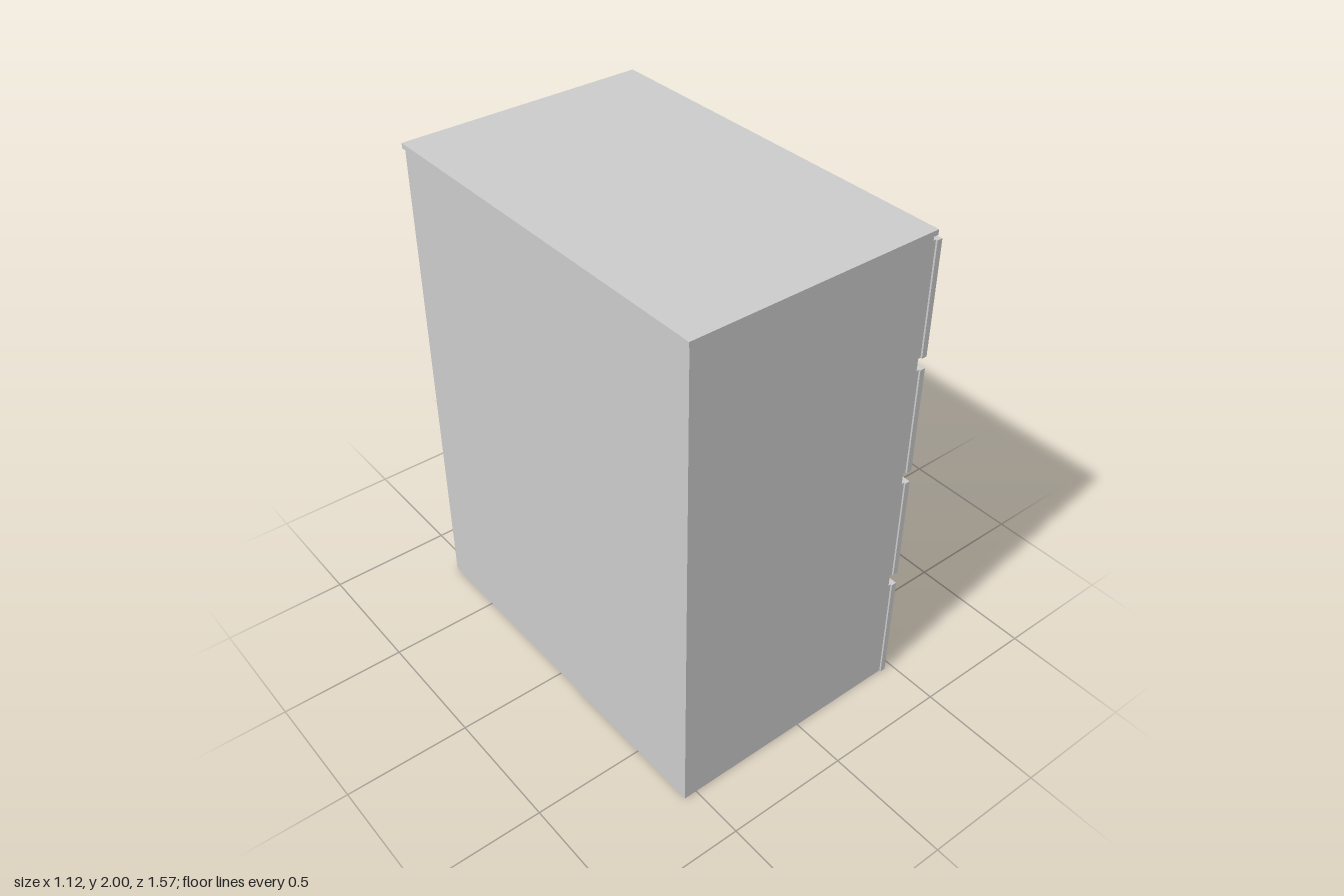
import * as THREE from 'three';

const material = new THREE.MeshStandardMaterial({ color: 0xcccccc });

// Box given by its min and max along each axis
function box(name, [x0, x1], [y0, y1], [z0, z1]) {
  const mesh = new THREE.Mesh(new THREE.BoxGeometry(x1 - x0, y1 - y0, z1 - z0), material);
  mesh.position.set((x0 + x1) / 2, (y0 + y1) / 2, (z0 + z1) / 2);
  mesh.name = name;
  return mesh;
}

// Half-ring pull lying flat and bulging towards +x
const handleGeometry = new THREE.TorusGeometry(0.094, 0.025, 16, 32, Math.PI)
  .rotateZ(-Math.PI / 2)
  .rotateX(Math.PI / 2);

function drawer(name, y, z, handleY, handleZ) {
  const group = new THREE.Group();
  group.name = name;
  // Recessed part behind the panel stays flush with the cabinet sides
  const inner = z.map((v) => THREE.MathUtils.clamp(v, -0.778, 0.778));
  group.add(box('drawerBack', [0.433, 0.444], y, inner));
  group.add(box('drawerPanel', [0.444, 0.466], y, z));
  const handle = new THREE.Mesh(handleGeometry, material);
  handle.name = 'handle';
  handle.position.set(0.438, handleY, handleZ);
  group.add(handle);
  return group;
}

export function createModel() {
  const model = new THREE.Group();
  model.name = 'chestOfDrawers';

  // Cabinet and overhanging top
  model.add(box('cabinet', [-0.553, 0.433], [0, 1.98], [-0.778, 0.778]));
  model.add(box('top', [-0.56, 0.444], [1.98, 2], [-0.785, 0.785]));

  // Three full-width drawers
  const rows = [[0, 0.472, 0.352], [0.524, 0.97, 0.826], [1.018, 1.462, 1.328]];
  rows.forEach(([y0, y1, handleY], i) => {
    model.add(drawer(`wideDrawer${i + 1}`, [y0, y1], [-0.785, 0.785], handleY, -0.036));
  });

  // Two half-width drawers at the top
  const topRow = [1.51, 1.96];
  model.add(drawer('smallDrawerLeft', topRow, [0.022, 0.785], 1.84, 0.372));
  model.add(drawer('smallDrawerRight', topRow, [-0.785, -0.025], 1.84, -0.425));

  return model;
}
